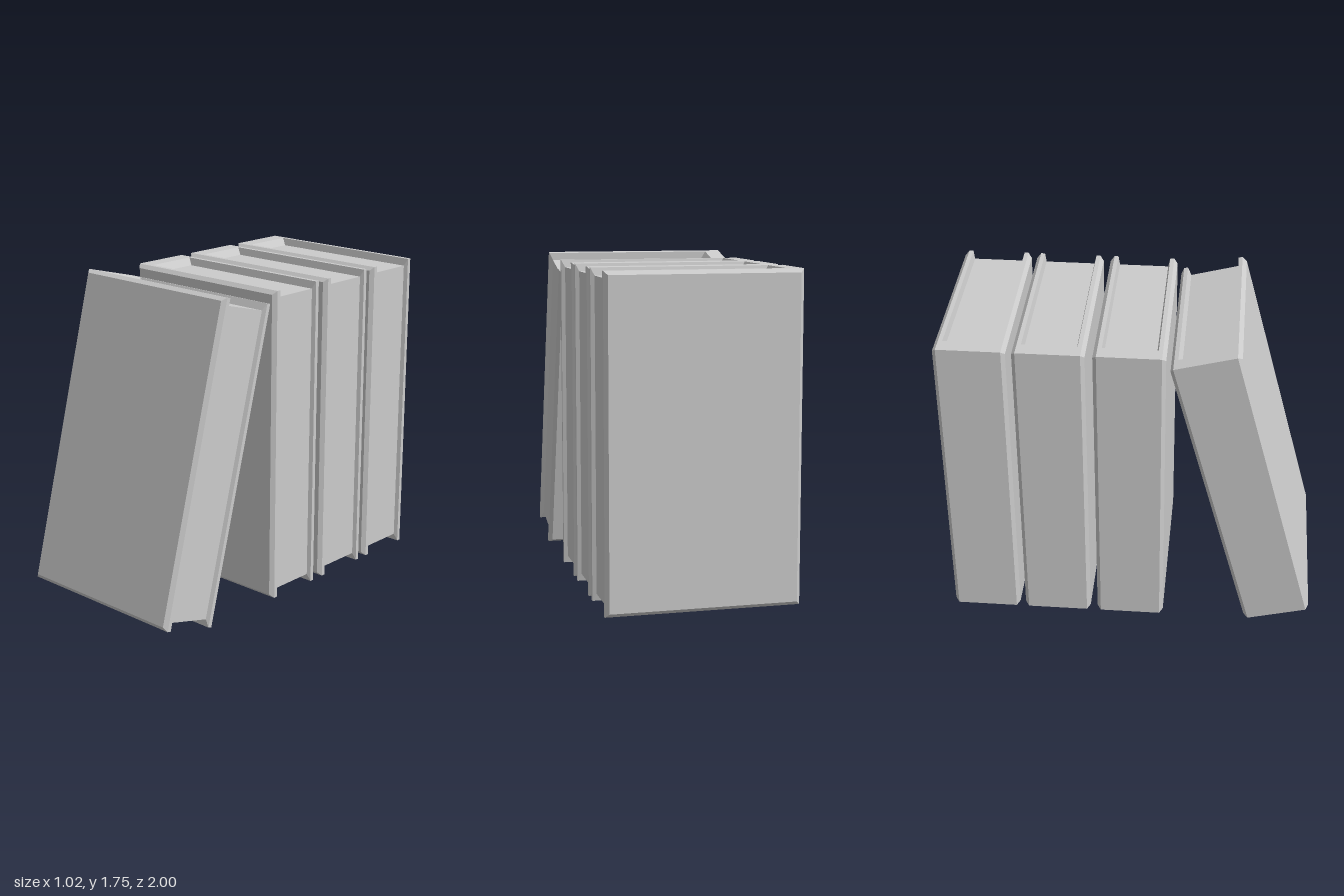
import * as THREE from 'three';

const H = 1.72, D = 1.02, T = 0.372; // book height, depth (x), thickness (z)
const RIM = 0.042, LIP = 0.052;      // board thickness at its rim and at the pages
const TOP_INSET = 0.04, EDGE_INSET = 0.02, CHAMFER = 0.02;

const material = new THREE.MeshStandardMaterial({ color: 0xcccccc, flatShading: true });

// Solid through rectangles [x0, x1, y0, y1, z] listed by rising z
function loftRects(sections) {
  const pos = [], index = [];
  for (const [x0, x1, y0, y1, z] of sections) {
    pos.push(x0, y0, z, x1, y0, z, x1, y1, z, x0, y1, z);
  }
  for (let s = 0; s < sections.length - 1; s++) {
    for (let i = 0; i < 4; i++) {
      const a = s * 4 + i, b = s * 4 + (i + 1) % 4;
      index.push(a, b, b + 4, a, b + 4, a + 4);
    }
  }
  const e = (sections.length - 1) * 4;
  index.push(0, 2, 1, 0, 3, 2, e, e + 1, e + 2, e, e + 2, e + 3);
  const g = new THREE.BufferGeometry();
  g.setAttribute('position', new THREE.Float32BufferAttribute(pos, 3));
  g.setIndex(index);
  const flat = g.toNonIndexed();
  flat.computeVertexNormals();
  return flat;
}

function addMesh(group, name, geometry) {
  const mesh = new THREE.Mesh(geometry, material);
  mesh.name = name;
  group.add(mesh);
  return mesh;
}

// Cover board: chamfered outside, tapering to the page block inside
function boardGeometry(side) {
  const x = D / 2, y = H / 2, c = CHAMFER;
  const sections = [
    [-x, x - EDGE_INSET, -y + TOP_INSET, y - TOP_INSET, T / 2 - LIP],
    [-x, x, -y, y, T / 2 - RIM],
    [-x, x, -y, y, T / 2 - c],
    [-x + c, x - c, -y + c, y - c, T / 2],
  ];
  if (side > 0) return loftRects(sections);
  return loftRects(sections.reverse().map(([a, b, d, e, z]) => [a, b, d, e, -z]));
}

function createBook(name) {
  const book = new THREE.Group();
  book.name = name;
  addMesh(book, 'frontCover', boardGeometry(1));
  addMesh(book, 'backCover', boardGeometry(-1));

  // Spine, lofted along its thickness and turned to run along x
  const w = T / 2 - RIM, y = H / 2;
  const spine = loftRects([
    [-w, w, -y, y, -D / 2],
    [-w, w, -y, y, -D / 2 + 0.085],
    [-w, w, -y + TOP_INSET, y - TOP_INSET, -D / 2 + 0.11],
  ]);
  spine.rotateY(Math.PI / 2);
  addMesh(book, 'spine', spine);

  // Recessed page block
  const x0 = -D / 2 + 0.09, x1 = D / 2 - EDGE_INSET;
  const pages = new THREE.BoxGeometry(x1 - x0, H - 2 * TOP_INSET, T - 2 * LIP + 0.002);
  pages.translate((x0 + x1) / 2, 0, 0);
  addMesh(book, 'pages', pages);
  return book;
}

export function createModel() {
  const model = new THREE.Group();
  model.name = 'bookRow';

  // Three upright books
  [-0.814, -0.411, 0].forEach((z, i) => {
    const book = createBook('uprightBook' + (i + 1));
    book.position.set(0, H / 2, z);
    model.add(book);
  });

  // Fourth book leaning back against the row
  const leaning = createBook('leaningBook');
  leaning.rotation.x = -THREE.MathUtils.degToRad(15);
  leaning.position.set(0, 0.874, 0.605);
  model.add(leaning);
  return model;
}
